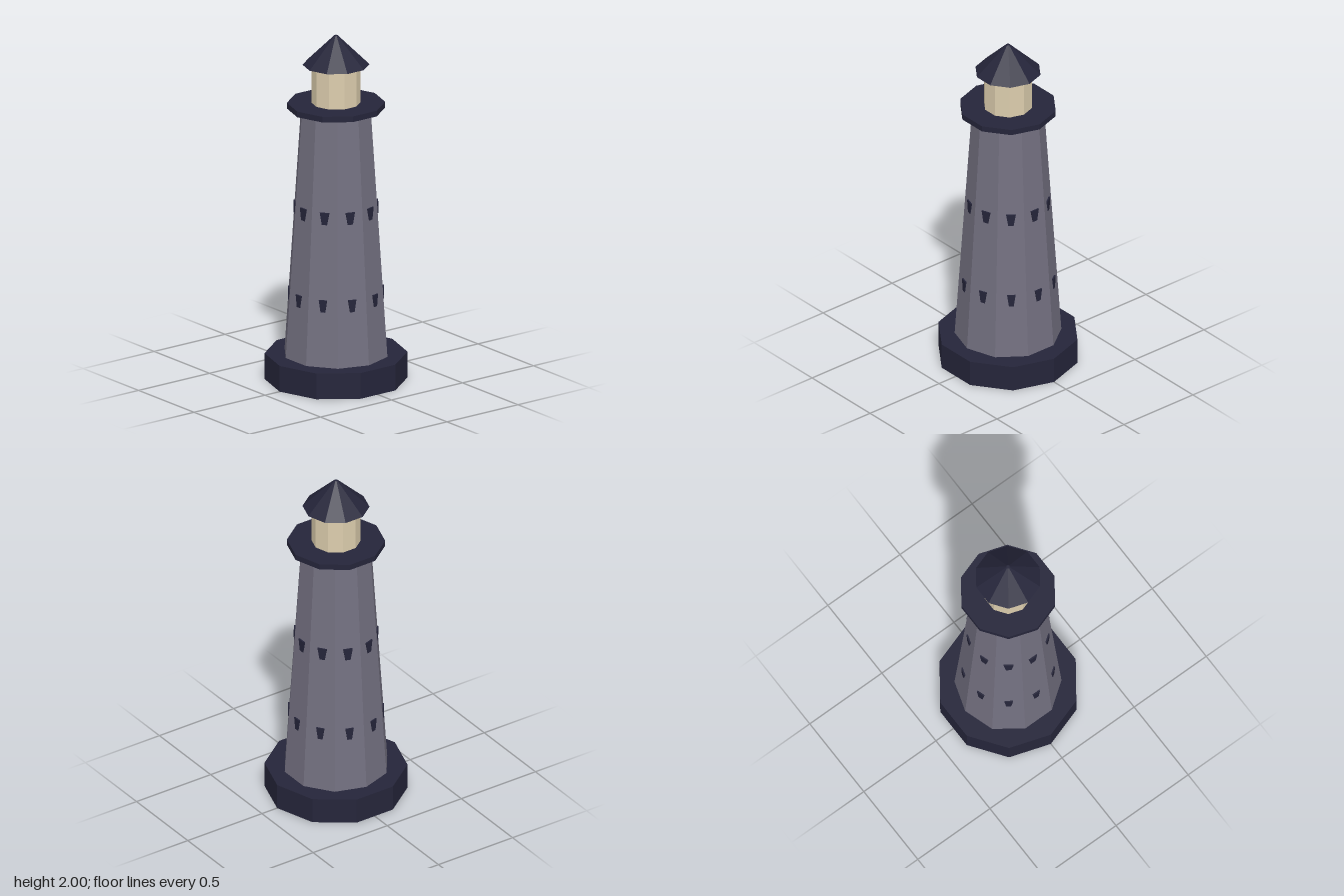
import * as THREE from 'three';

const SIDES = 10;

function material(name, color) {
  const m = new THREE.MeshStandardMaterial({ color, flatShading: true });
  m.name = name;
  return m;
}

export function createModel() {
  const navy = material('dark navy', 0x25253a);
  const stone = material('grey stone', 0x737080);
  const cream = material('warm cream', 0xdccdad);

  const model = new THREE.Group();
  model.name = 'lighthouse';

  // Ten-sided tapered drum between two heights
  function drum(name, mat, rTop, rBottom, y0, y1, turn = 0) {
    const geo = new THREE.CylinderGeometry(rTop, rBottom, y1 - y0, SIDES);
    const mesh = new THREE.Mesh(geo, mat);
    mesh.name = name;
    mesh.position.y = (y0 + y1) / 2;
    mesh.rotation.y = turn;
    model.add(mesh);
  }

  const tower = { y0: 0.15, y1: 1.563, r0: 0.297, r1: 0.202 };

  drum('base', navy, 0.397, 0.397, 0, 0.15);
  drum('tower', stone, tower.r1, tower.r0, tower.y0, tower.y1, Math.PI / SIDES);
  drum('gallery', navy, 0.273, 0.273, 1.576, 1.609);
  drum('lantern', cream, 0.137, 0.137, 1.609, 1.83);
  drum('roof', navy, 0.01, 0.186, 1.83, 2);

  // Window plates, wider at the top, one on each tower face
  function windowRow(name, y, topWidth, bottomWidth) {
    const h = 0.035;
    const shape = new THREE.Shape([
      new THREE.Vector2(-bottomWidth / 2, -h),
      new THREE.Vector2(bottomWidth / 2, -h),
      new THREE.Vector2(topWidth / 2, h),
      new THREE.Vector2(-topWidth / 2, h),
    ]);
    const geo = new THREE.ExtrudeGeometry(shape, { depth: 0.009, bevelEnabled: false });
    const t = (y - tower.y0) / (tower.y1 - tower.y0);
    const faceDistance = THREE.MathUtils.lerp(tower.r0, tower.r1, t) * Math.cos(Math.PI / SIDES);
    geo.translate(0, y, faceDistance - 0.003);

    const row = new THREE.Group();
    row.name = name;
    for (let i = 0; i < SIDES; i++) {
      const pane = new THREE.Mesh(geo, navy);
      pane.name = 'window';
      pane.rotation.y = (i * Math.PI * 2) / SIDES;
      row.add(pane);
    }
    model.add(row);
  }

  windowRow('lowerWindows', 0.5, 0.047, 0.027);
  windowRow('upperWindows', 1.0, 0.054, 0.03);

  return model;
}
